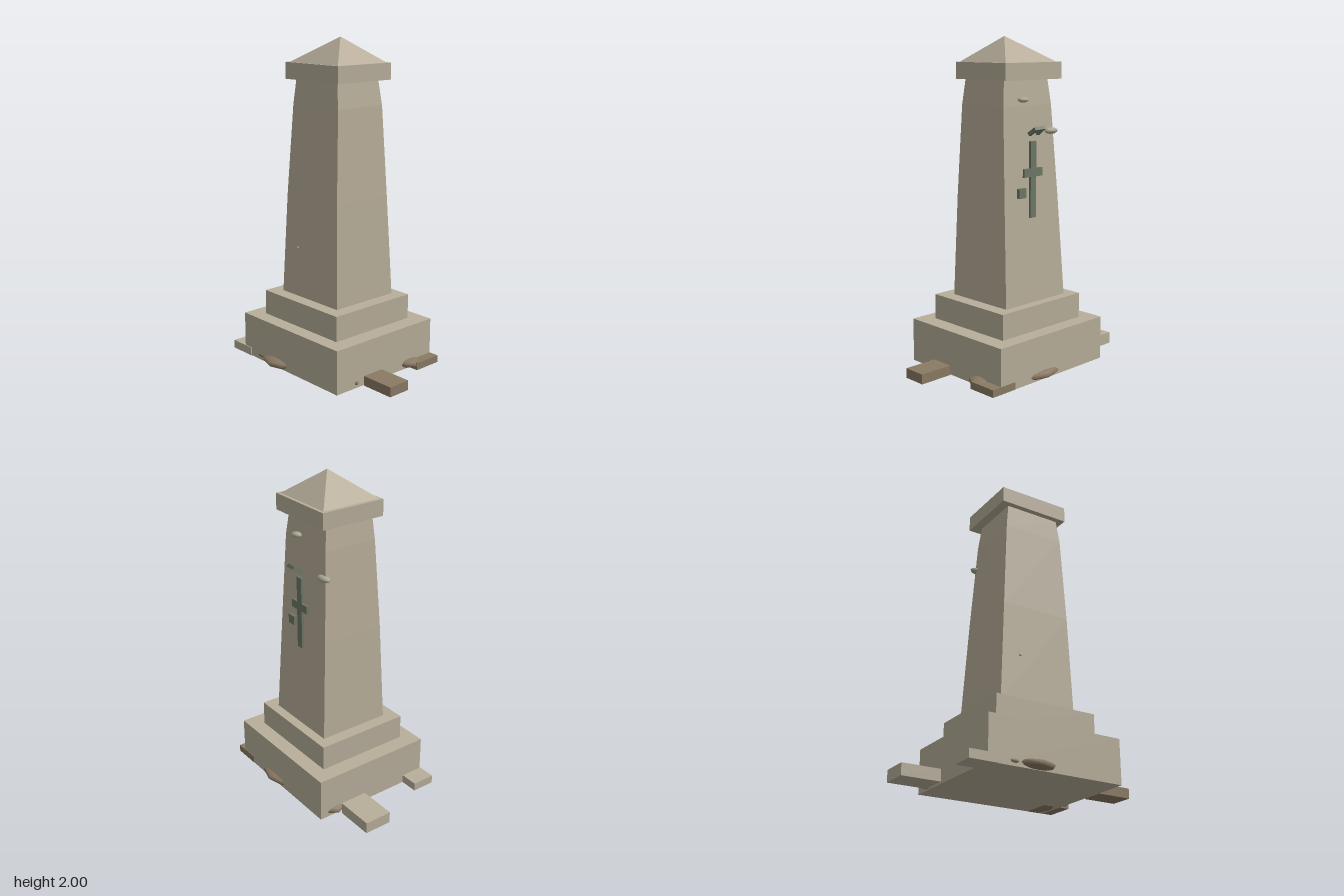
import * as THREE from 'three';

const STONE = 0xb8ae9a, DIRT = 0x8a7a64, BRONZE = 0x6e7866, PALE = 0xa8a893;
const mat = (color, flatShading = true) =>
  new THREE.MeshStandardMaterial({ color, flatShading });

export function createModel() {
  const group = new THREE.Group();

  function add(name, geometry, material) {
    const mesh = new THREE.Mesh(geometry, material);
    mesh.name = name;
    group.add(mesh);
    return mesh;
  }

  // Box given by its limits on each axis
  function box(name, [x0, x1], [y0, y1], [z0, z1], color) {
    const m = add(name, new THREE.BoxGeometry(x1 - x0, y1 - y0, z1 - z0), mat(color));
    m.position.set((x0 + x1) / 2, (y0 + y1) / 2, (z0 + z1) / 2);
    return m;
  }

  // Four-sided loft through rectangles [y, x0, x1, z0, z1]
  function loft(name, sections, color) {
    const rings = sections.map(([y, x0, x1, z0, z1]) =>
      [[x0, y, z1], [x1, y, z1], [x1, y, z0], [x0, y, z0]]);
    const pos = [];
    const quad = (a, b, c, d) => pos.push(...a, ...b, ...c, ...a, ...c, ...d);
    for (let i = 0; i < rings.length - 1; i++) {
      for (let j = 0; j < 4; j++) {
        const k = (j + 1) % 4;
        quad(rings[i][j], rings[i][k], rings[i + 1][k], rings[i + 1][j]);
      }
    }
    quad(...[...rings[0]].reverse());
    quad(...rings[rings.length - 1]);
    const g = new THREE.BufferGeometry();
    g.setAttribute('position', new THREE.Float32BufferAttribute(pos, 3));
    g.computeVertexNormals();
    add(name, g, mat(color));
  }

  // Squashed low-poly stone
  function stone(name, center, radii, color) {
    const m = add(name, new THREE.SphereGeometry(1, 8, 6), mat(color, false));
    m.position.set(...center);
    m.scale.set(...radii);
    return m;
  }

  // Stepped plinth
  box('plinthBase', [-0.413, 0.453], [0, 0.27], [-0.405, 0.384], STONE);
  box('plinthStep', [-0.312, 0.348], [0.27, 0.425], [-0.31, 0.293], STONE);

  // Tapered shaft with a slight bulge
  loft('shaft', [
    [0.425, -0.235, 0.263, -0.25, 0.212],
    [1.05, -0.205, 0.243, -0.217, 0.193],
    [1.6, -0.173, 0.223, -0.187, 0.167],
    [1.75, -0.156, 0.204, -0.172, 0.156],
  ], STONE);

  // Cap slab and pyramid roof
  box('capSlab', [-0.213, 0.249], [1.75, 1.85], [-0.233, 0.191], STONE);
  loft('capPyramid', [
    [1.85, -0.19, 0.231, -0.213, 0.177],
    [2, 0.046, 0.047, -0.014, -0.013],
  ], STONE);

  // Fallen blocks around the base
  box('fallenBlock', [-0.677, -0.435], [0, 0.072], [-0.264, -0.087], STONE);
  box('fallenBlock', [-0.528, -0.35], [0, 0.052], [0.242, 0.389], STONE);
  box('fallenBlock', [0.46, 0.675], [0, 0.06], [0.028, 0.175], DIRT);
  box('fallenBlock', [0.34, 0.518], [0, 0.045], [-0.407, -0.22], DIRT);

  // Rocks half buried under the plinth
  stone('rock', [-0.103, 0.031, 0.35], [0.125, 0.031, 0.095], DIRT);
  stone('rock', [0.095, 0.031, -0.35], [0.148, 0.031, 0.1], DIRT);
  stone('rock', [0.397, 0.031, -0.225], [0.125, 0.031, 0.088], DIRT);
  stone('rock', [-0.34, 0.031, -0.288], [0.11, 0.031, 0.088], DIRT);
  stone('pebble', [-0.25, 0.03, 0.378], [0.032, 0.013, 0.014], DIRT);
  stone('pebble', [0.452, 0.03, 0.228], [0.012, 0.013, 0.014], DIRT);
  stone('chip', [-0.1, 0.73, 0.203], [0.01, 0.008, 0.008], STONE);

  // Pale stones lodged in the back of the shaft
  stone('lodgedStone', [0.083, 1.637, -0.207], [0.038, 0.016, 0.028], PALE);
  stone('lodgedStone', [-0.165, 1.441, -0.195], [0.055, 0.02, 0.03], PALE);

  // Cross and small plaque on the back
  box('crossUpright', [0.002, 0.048], [0.94, 1.395], [-0.237, -0.222], BRONZE);
  box('crossArm', [-0.05, 0.1], [1.185, 1.235], [-0.237, -0.222], BRONZE);
  box('plaque', [0.083, 0.14], [1.065, 1.122], [-0.237, -0.207], BRONZE);

  // Tilted bracket above the cross
  const bracket = new THREE.Group();
  bracket.name = 'bracket';
  const part = (w, d, x, z, turn) => {
    const m = new THREE.Mesh(new THREE.BoxGeometry(w, 0.022, d), mat(BRONZE));
    m.name = 'bracketBar';
    m.position.set(x, 0, z);
    m.rotation.y = turn;
    bracket.add(m);
  };
  part(0.075, 0.022, 0, -0.025, -0.12);
  for (const s of [-1, 1]) part(0.02, 0.058, s * 0.03, 0.004, s * 0.1);
  bracket.position.set(0.027, 1.456, -0.262);
  bracket.rotation.x = 0.6;
  group.add(bracket);

  return group;
}
